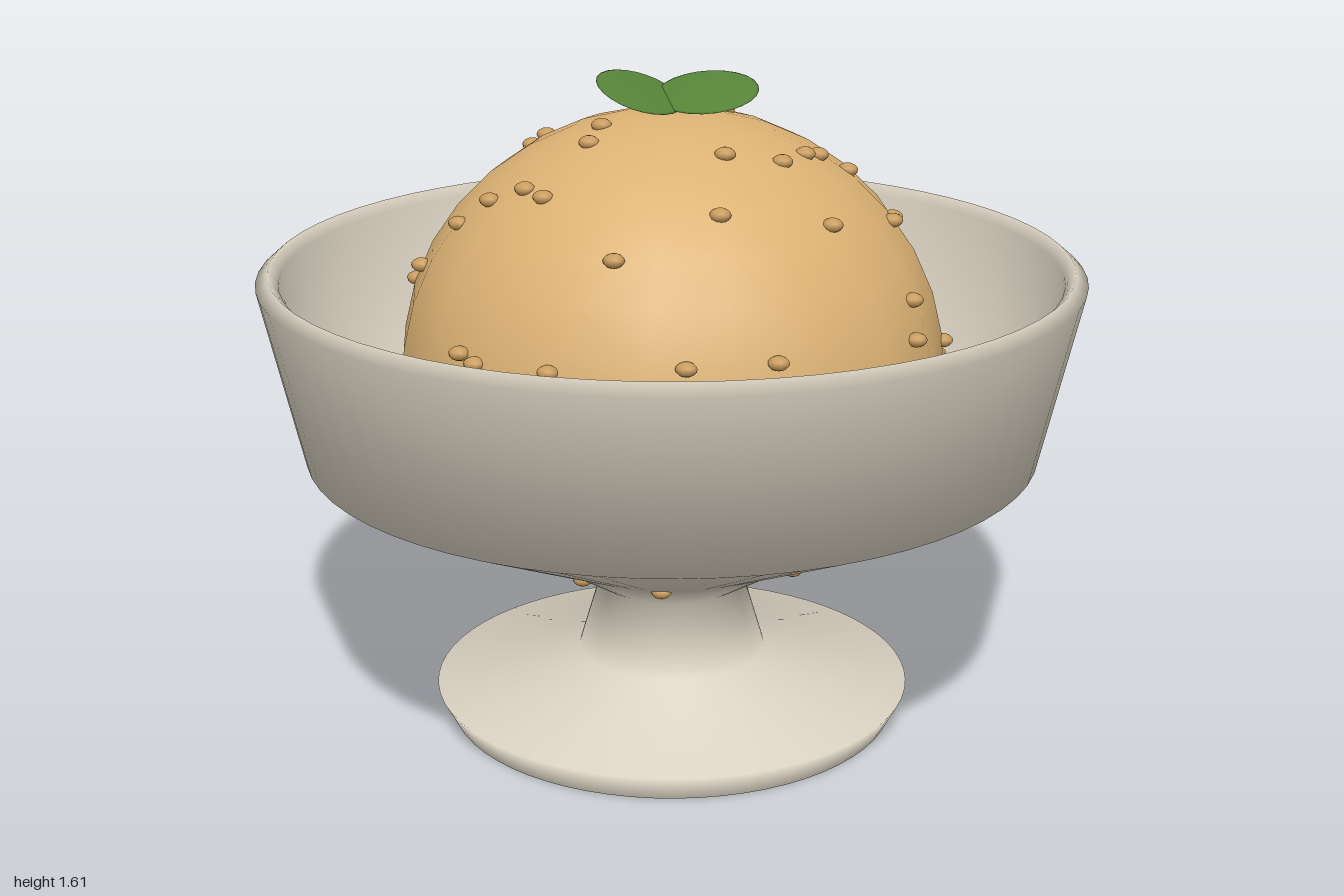
import * as THREE from 'three';

const material = (name, color, side = THREE.FrontSide) => {
  const m = new THREE.MeshStandardMaterial({ color, side });
  m.name = name;
  return m;
};

export function createModel() {
  const group = new THREE.Group();
  const stoneware = material('stoneware', 0xd8d0c0, THREE.DoubleSide);
  const caramel = material('caramel', 0xdcb274);
  const nut = material('nut', 0xc89b5c);
  const mint = material('mint green', 0x58863a);

  const add = (name, geometry, mat, parent = group) => {
    const mesh = new THREE.Mesh(geometry, mat);
    mesh.name = name;
    parent.add(mesh);
    return mesh;
  };

  // Footed bowl: foot, stem, outer wall, rim, then back down the inside
  const profile = [
    [0.56, 0], [0.597, 0.07], [0.235, 0.155], [0.182, 0.335], [0.35, 0.44],
    [0.9, 0.7], [1, 1.14], [0.97, 1.166], [0.945, 1.14],
    [0.86, 0.74], [0.5, 0.55], [0, 0.5],
  ].map(([r, y]) => new THREE.Vector2(r, y));
  add('bowl', new THREE.LatheGeometry(profile, 64), stoneware);
  add('footUnderside', new THREE.CircleGeometry(0.56, 64).rotateX(Math.PI / 2), stoneware);

  // Scoop, cut off where it rests inside the bowl
  const R = 0.665, H = 0.635, centreY = 0.897;
  const scoop = add('scoop', new THREE.SphereGeometry(1, 20, 12, 0, Math.PI * 2, 0, 2.15), caramel);
  scoop.scale.set(R, H, R);
  scoop.position.y = centreY;

  // Nut pieces scattered over the scoop, given as x, z
  const nuts = new THREE.Group();
  nuts.name = 'nuts';
  group.add(nuts);
  const nutShape = new THREE.SphereGeometry(1, 10, 8);
  const addNut = (x, y, z) => {
    const piece = add('nutPiece', nutShape, nut, nuts);
    piece.scale.set(0.025, 0.017, 0.022);
    piece.position.set(x, y, z);
  };
  [
    [-0.44, -0.5], [-0.32, -0.56], [-0.13, -0.53], [-0.12, -0.38], [0.11, -0.62], [0.21, -0.62],
    [0.41, -0.53], [0.45, -0.48], [0.54, -0.38], [0.63, -0.2], [0.65, -0.15], [0.66, 0],
    [-0.35, -0.27], [-0.36, -0.18], [-0.32, -0.15], [0.06, -0.21], [0.1, -0.23], [0.12, -0.1],
    [-0.63, -0.02], [-0.6, 0.08], [-0.49, 0.18], [-0.41, 0.21], [-0.32, 0.26], [-0.27, 0.32],
    [-0.18, 0.17], [-0.16, 0.08], [-0.45, 0.46], [-0.41, 0.5], [-0.23, 0.6], [-0.15, 0.64],
    [-0.09, 0.51], [0.04, 0.655], [0.08, 0.63], [0.14, 0.41], [0.14, 0.23], [0.27, 0.18],
    [0.32, 0.08], [0.35, 0.03], [0.42, -0.02], [0.53, 0], [0.53, 0.03], [0.39, 0.29],
    [0.58, 0.21], [0.59, 0.26], [0.45, 0.48], [0.4, 0.52], [0.28, 0.57],
  ].forEach(([x, z]) => {
    const rise = Math.sqrt(Math.max(0, 1 - (x * x + z * z) / (R * R)));
    addNut(x, centreY + H * rise, z);
  });

  // Stray pieces low on the bowl
  [
    [-0.2, 0.415, 0.23], [0, 0.43, 0.33], [0.33, 0.437, 0.04],
    [0.31, 0.448, 0.21], [0.18, 0.42, -0.25], [0.14, 0.435, -0.32],
  ].forEach((p) => addNut(...p));

  // Two tilted leaves on top
  const leafShape = new THREE.SphereGeometry(1, 24, 10);
  [
    ['rightLeaf', -0.077, 1.573, 0, -0.33],
    ['leftLeaf', 0.082, 1.575, -0.01, 0.3],
  ].forEach(([name, x, y, yaw, tilt], i) => {
    const leaf = add(name, leafShape, mint);
    leaf.scale.set(0.108, 0.008, i ? 0.19 : 0.207);
    leaf.position.set(x, y, -0.005);
    leaf.rotation.set(0, i ? 0.5 : yaw, tilt);
  });

  return group;
}
